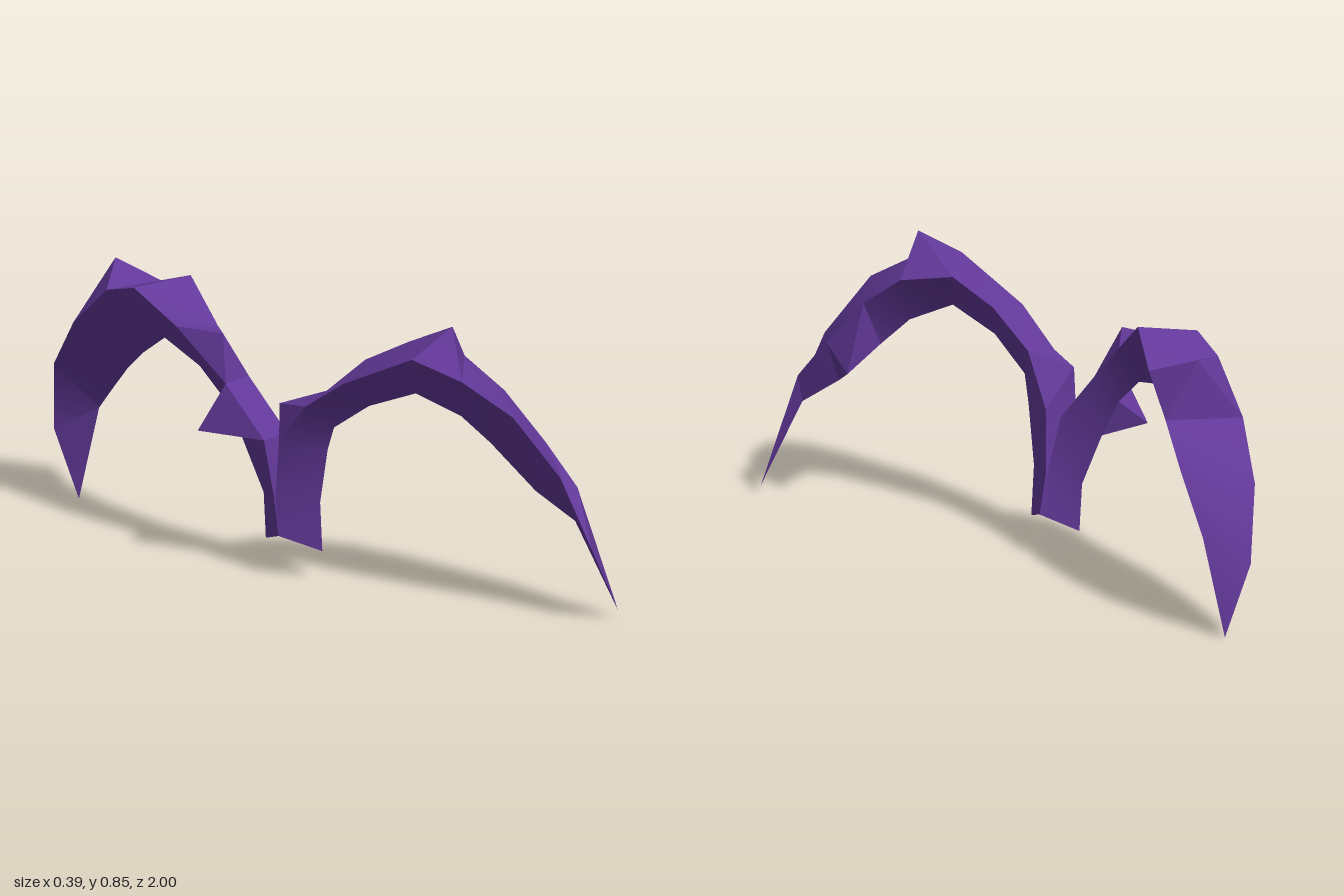
import * as THREE from 'three';
import { toCreasedNormals } from 'three/addons/utils/BufferGeometryUtils.js';

// Each arm is a three-sided horn: left edge, right edge and inner ridge, ring by ring from base to tip.
const frontArm = {
  left: [[-.12, .13, -.01], [-.135, .25, -.01], [-.155, .43, .02], [-.17, .56, .13], [-.18, .66, .28], [-.15, .77, .51],
    [-.13, .73, .68], [-.08, .64, .83], [0, .46, .94], [.07, .24, 1], [.192, .025, 1]],
  right: [[.01, .13, -.01], [-.015, .25, -.01], [-.04, .43, .02], [-.06, .58, .12], [-.03, .69, .24], [.01, .76, .37],
    [.08, .73, .52], [.115, .64, .64], [.145, .5, .77], [.165, .38, .87], [.192, .025, 1]],
  inner: [[-.055, .09, .1], [-.065, .24, .1], [-.08, .41, .14], [-.1, .49, .18], [-.1, .58, .31], [-.07, .64, .46],
    [-.01, .58, .58], [.04, .5, .65], [.085, .37, .78], [.13, .29, .89], [.192, .025, 1]],
  // key: ring index + side (0 outer, 1 right, 2 left)
  spikes: { '2,0': [-.14, .54, .01], '5,0': [-.025, .85, .56], '7,1': [.16, .43, .66] },
};

const backArm = {
  left: [[-.12, .13, -.01], [-.135, .25, -.015], [-.15, .42, -.04], [-.165, .57, -.17], [-.17, .71, -.35], [-.13, .78, -.54],
    [-.095, .74, -.67], [-.05, .6, -.83], [.01, .44, -.95], [.07, .22, -1], [.13, 0, -.955]],
  right: [[.01, .13, -.01], [-.015, .25, -.015], [-.045, .42, -.04], [-.06, .57, -.17], [-.04, .69, -.3], [.02, .8, -.45],
    [.11, .72, -.6], [.16, .61, -.73], [.188, .48, -.83], [.175, .3, -.91], [.13, 0, -.955]],
  inner: [[-.055, .09, -.11], [-.065, .23, -.11], [-.08, .39, -.18], [-.1, .5, -.23], [-.1, .58, -.32], [-.05, .62, -.49],
    [0, .54, -.61], [.05, .46, -.71], [.09, .37, -.8], [.13, .29, -.88], [.13, 0, -.955]],
  spikes: { '2,2': [-.195, .42, -.25], '3,0': [-.14, .71, -.2], '6,0': [.07, .78, -.77] },
};

function armGeometry({ left, right, inner, spikes }, flip) {
  const edges = [left, right, inner];
  const points = [];
  const tri = (a, b, c) => points.push(...a, ...(flip ? [...c, ...b] : [...b, ...c]));
  const last = left.length - 1;
  for (let i = 0; i < last; i++) {
    for (let s = 0; s < 3; s++) {
      const e = edges[s], f = edges[(s + 1) % 3];
      const quad = [e[i], e[i + 1], f[i + 1], f[i]];
      const apex = spikes[`${i},${s}`];
      if (apex) {
        // thorn: a pyramid over this panel
        quad.forEach((p, k) => tri(p, quad[(k + 1) % 4], apex));
      } else {
        tri(quad[0], quad[1], quad[3]);
        if (i < last - 1) tri(quad[1], quad[2], quad[3]);
      }
    }
  }
  // base cap
  tri(left[0], right[0], inner[0]);
  const geometry = new THREE.BufferGeometry();
  geometry.setAttribute('position', new THREE.Float32BufferAttribute(points, 3));
  return toCreasedNormals(geometry, 0.5);
}

export function createModel() {
  const group = new THREE.Group();
  group.name = 'thornedArms';
  const purple = new THREE.MeshStandardMaterial({ color: 0x63399a });
  purple.name = 'purple';
  for (const [name, arm, flip] of [['frontArm', frontArm, false], ['backArm', backArm, true]]) {
    const mesh = new THREE.Mesh(armGeometry(arm, flip), purple);
    mesh.name = name;
    group.add(mesh);
  }
  return group;
}
